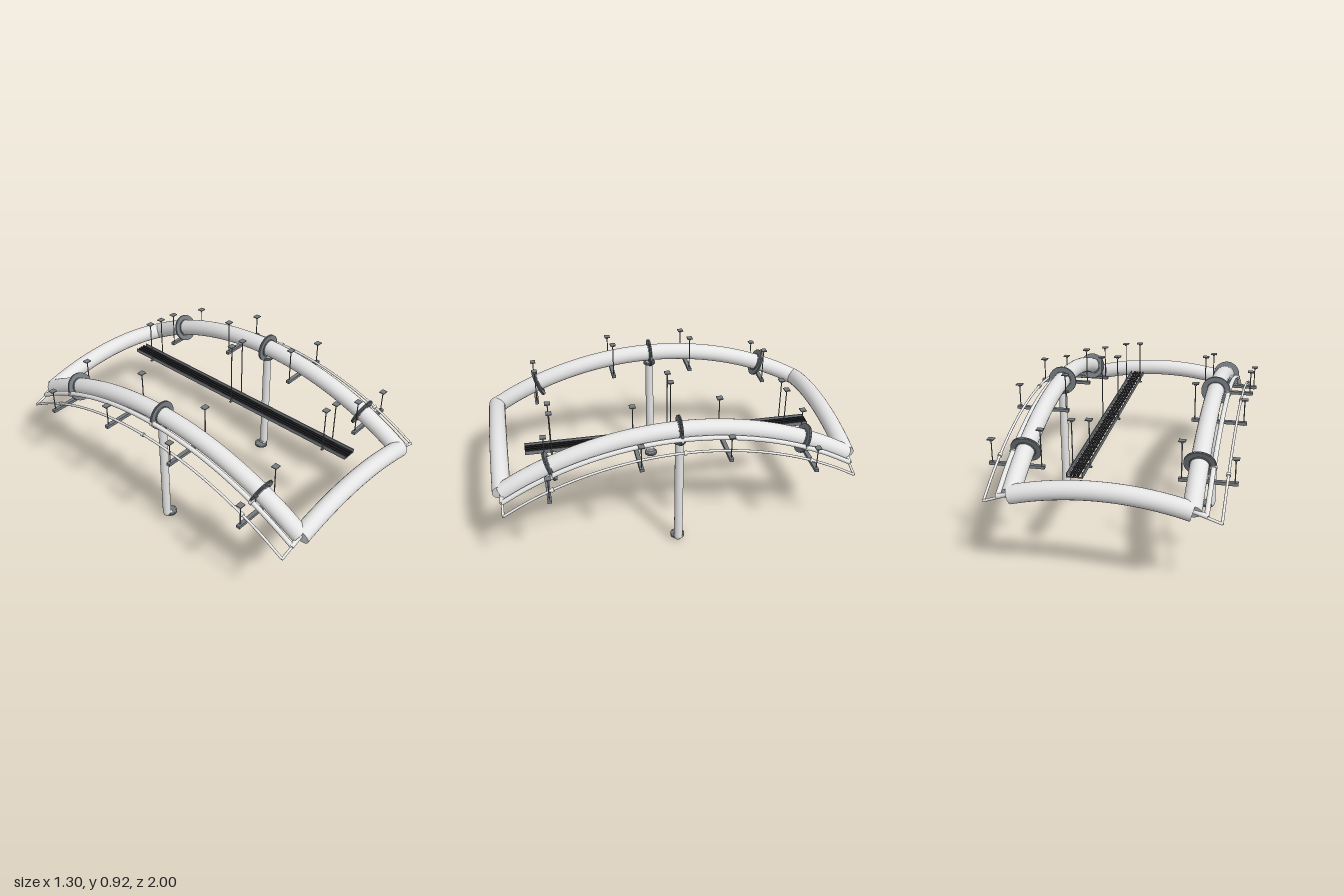
import * as THREE from 'three';

export function createModel() {
  const model = new THREE.Group();
  const pipeGrey = new THREE.MeshStandardMaterial({ color: 0xe4e4e4, side: THREE.DoubleSide });
  pipeGrey.name = 'pale pipe';
  const steel = new THREE.MeshStandardMaterial({ color: 0x767c81 });
  steel.name = 'grey steel';
  const black = new THREE.MeshStandardMaterial({ color: 0x1c1c1e });
  black.name = 'black cable';
  const V = (x, y, z) => new THREE.Vector3(x, y, z);

  const add = (parent, name, geo, mat, x = 0, y = 0, z = 0) => {
    const m = new THREE.Mesh(geo, mat);
    m.name = name;
    m.position.set(x, y, z);
    parent.add(m);
    return m;
  };
  const group = (parent, name, x = 0, y = 0, z = 0) => {
    const g = new THREE.Group();
    g.name = name;
    g.position.set(x, y, z);
    parent.add(g);
    return g;
  };
  const box = (parent, name, w, h, d, x, y, z) =>
    add(parent, name, new THREE.BoxGeometry(w, h, d), steel, x, y, z);

  // tube along points, closed with flat end discs
  const pipe = (parent, name, pts, r, seg = 48) => {
    const curve = new THREE.CatmullRomCurve3(pts);
    add(parent, name, new THREE.TubeGeometry(curve, seg, r, 24), pipeGrey);
    for (const t of [0, 1]) {
      const p = curve.getPointAt(t), d = curve.getTangentAt(t);
      const cap = add(parent, name + 'End', new THREE.CircleGeometry(r, 24), pipeGrey, p.x, p.y, p.z);
      cap.lookAt(p.clone().addScaledVector(d, t ? 1 : -1));
    }
  };

  // drop below the crown of a circular arc
  const drop = (u, R) => R - Math.sqrt(R * R - u * u);
  const R_SIDE = 1.818, R_END = 1.72, HALF = 0.951;
  const steps = Array.from({ length: 17 }, (_, i) => -1 + i / 8);
  const sideArc = (x, top) =>
    steps.map(t => V(x, top - drop(t * HALF, R_SIDE), t * HALF));

  // pair of plates, axis along local y
  const flange = (parent, name, r, x, y, z) => {
    const g = group(parent, name, x, y, z);
    for (const s of [-1, 1]) {
      add(g, 'flangePlate', new THREE.CylinderGeometry(r, r, 0.005, 48), steel, 0, s * 0.0035, 0);
    }
    return g;
  };
  const bolts = (g, r, count) => {
    for (let i = 0; i < count; i++) {
      const a = (i / count) * Math.PI * 2;
      add(g, 'bolt', new THREE.CylinderGeometry(0.002, 0.002, 0.02, 6), steel,
        r * Math.cos(a), 0, r * Math.sin(a));
    }
  };

  // threaded rod with a square ceiling plate
  const hanger = (parent, x, z, bottom, top) => {
    const g = group(parent, 'hanger');
    add(g, 'rod', new THREE.CylinderGeometry(0.003, 0.003, top - bottom, 8), steel, x, (top + bottom) / 2, z);
    box(g, 'ceilingPlate', 0.036, 0.005, 0.032, x, top, z);
    for (const y of [top - 0.008, bottom + 0.005]) {
      add(g, 'rodNut', new THREE.CylinderGeometry(0.007, 0.007, 0.01, 6), steel, x, y, z);
    }
  };

  // arched header pipes across the front and back
  for (const z of [-HALF, HALF]) {
    pipe(model, 'endHeader', steps.map(t => V(t * 0.455, 0.546 - drop(t * 0.455, R_END), z)), 0.049);
  }

  for (const s of [-1, 1]) {
    const side = group(model, s > 0 ? 'leftSide' : 'rightSide');

    // long arched main and its two companion lines
    pipe(side, 'mainPipe', sideArc(s * 0.45, 0.753), 0.0485, 64);
    pipe(side, 'middleLine', sideArc(s * 0.52, 0.735), 0.013, 64);
    pipe(side, 'outerLine', sideArc(s * 0.595, 0.703), 0.007, 64);
    for (const z of [-HALF, HALF]) {
      pipe(side, 'middleLink', [V(s * 0.44, 0.495, z), V(s * 0.525, 0.466, z)], 0.013, 2);
      pipe(side, 'outerLink', [V(s * 0.45, 0.485, z), V(s * 0.598, 0.434, z)], 0.007, 2);
    }

    // flanges on the main, sleeves on the lines
    for (const z of [-0.69, 0, 0.69]) {
      const tilt = Math.PI / 2 + Math.asin(z / R_SIDE), d = drop(z, R_SIDE);
      const joint = flange(side, 'mainFlange', 0.082, s * 0.45, 0.75 - d, z);
      joint.rotation.x = tilt;
      add(joint, 'flangeCollar', new THREE.CylinderGeometry(0.054, 0.054, 0.024, 32), steel);
      for (const [x, y, r] of [[0.52, 0.735, 0.018], [0.595, 0.703, 0.012]]) {
        add(side, 'sleeve', new THREE.CylinderGeometry(r, r, 0.016, 20), pipeGrey,
          s * x, y - d, z).rotation.x = tilt;
      }
    }

    // trapeze supports under the arch
    for (const [z, y] of [[-0.71, 0.53], [-0.235, 0.66], [0.235, 0.66], [0.71, 0.53]]) {
      const trapeze = group(side, 'trapeze');
      box(trapeze, 'crossBar', 0.3, 0.017, 0.022, s * 0.497, y, z);
      hanger(trapeze, s * 0.363, z, y - 0.012, y + 0.21);
      hanger(trapeze, s * 0.63, z, y - 0.012, y + 0.135);
    }

    // riser with inward elbow and foot flange
    const riser = group(side, 'riser');
    pipe(riser, 'riserPipe', [V(s * 0.45, 0.72, 0), V(s * 0.45, 0.04, 0)], 0.024, 4);
    pipe(riser, 'riserElbow',
      [V(s * 0.45, 0.045, 0), V(s * 0.447, 0.033, 0), V(s * 0.439, 0.026, 0), V(s * 0.425, 0.024, 0)], 0.024, 12);
    bolts(flange(riser, 'footFlange', 0.04, s * 0.423, 0.027, 0), 0.033, 8);
    bolts(flange(riser, 'topFlange', 0.036, s * 0.45, 0.685, 0), 0.03, 8);
  }

  // ladder tray with side rails and rungs, carrying black cables
  const tray = group(model, 'cableTray', 0.163, 0.545, 0);
  const trayLength = 1.62;
  for (const s of [-1, 1]) box(tray, 'trayRail', 0.005, 0.023, trayLength, s * 0.04, 0, 0);
  for (let i = 0; i <= 30; i++) {
    box(tray, 'trayRung', 0.08, 0.005, 0.008, 0, -0.008, -0.806 + (i * 1.612) / 30);
  }
  for (const x of [-0.018, 0, 0.018]) {
    add(tray, 'cable', new THREE.CylinderGeometry(0.007, 0.007, trayLength, 12), black, x, 0.002, 0)
      .rotation.x = Math.PI / 2;
  }
  for (const [z, top] of [[-0.665, 0.795], [0, 0.915], [0.665, 0.795]]) {
    hanger(model, 0.118, z, 0.535, top);
    hanger(model, 0.21, z, 0.535, top - 0.008);
    box(model, 'trayBracket', 0.115, 0.006, 0.012, 0.164, 0.532, z);
  }
  return model;
}
